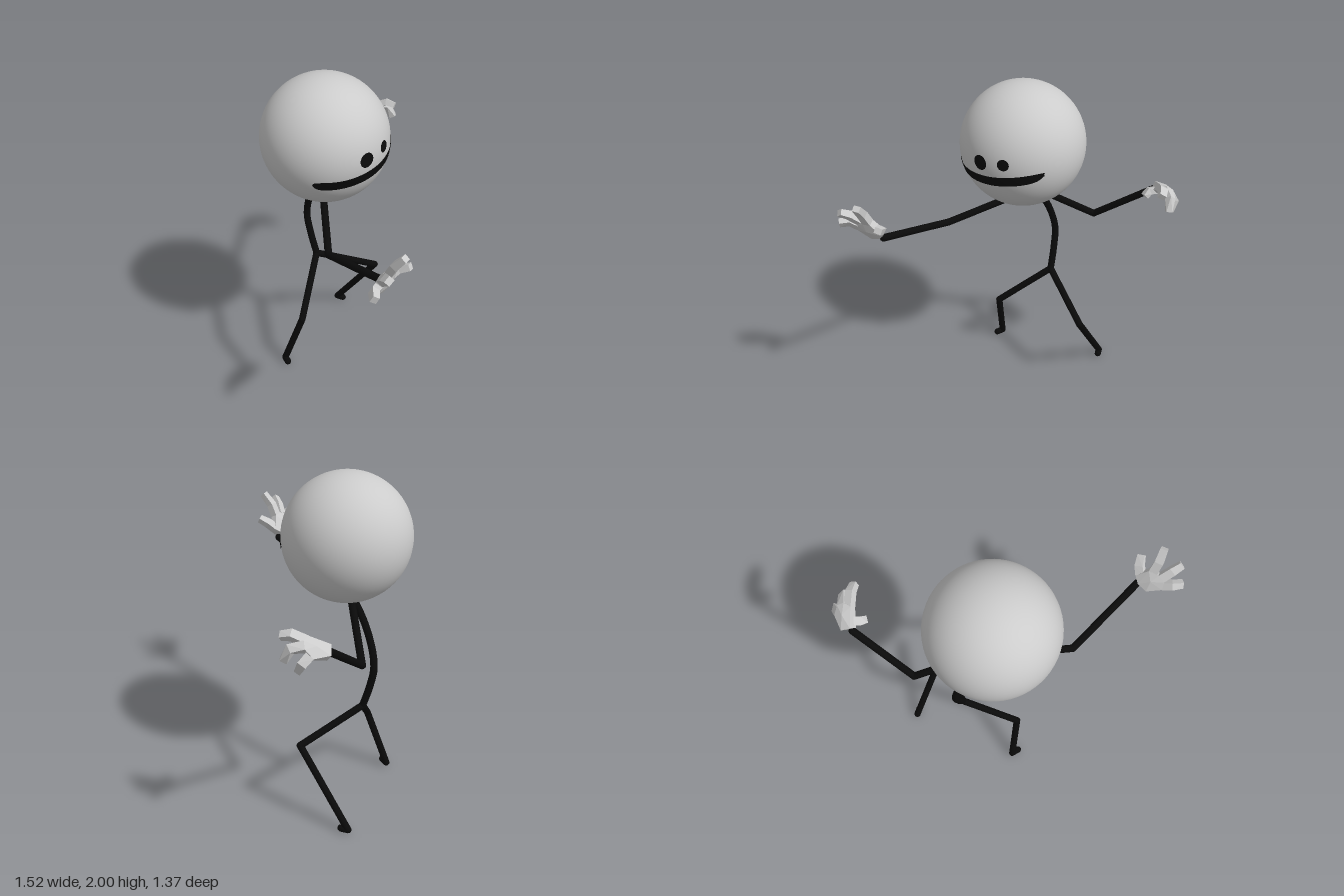
import * as THREE from 'three';
import { ConvexGeometry } from 'three/addons/geometries/ConvexGeometry.js';

const V = (p) => new THREE.Vector3(...p);
const HEAD = { c: V([-0.103, 1.637, -0.277]), r: 0.363 };
const STICK = 0.021;

export function createModel() {
  const model = new THREE.Group();
  const grey = new THREE.MeshStandardMaterial({ color: 0xcccccc });
  const skin = new THREE.MeshStandardMaterial({ color: 0xcccccc, flatShading: true });
  const black = new THREE.MeshStandardMaterial({ color: 0x0a0a0a });
  const ink = new THREE.MeshStandardMaterial({ color: 0x0a0a0a, side: THREE.DoubleSide });

  const add = (name, geometry, material, parent = model) => {
    const mesh = new THREE.Mesh(geometry, material);
    mesh.name = name;
    parent.add(mesh);
    return mesh;
  };
  const addGroup = (name) => {
    const g = new THREE.Group();
    g.name = name;
    model.add(g);
    return g;
  };

  // Head
  add('head', new THREE.SphereGeometry(HEAD.r, 64, 40), grey).position.copy(HEAD.c);

  // Face features: a grid of (x, y) laid onto the front of the head
  const facePatch = (name, nu, nv, fn) => {
    const geo = new THREE.PlaneGeometry(1, 1, nu, nv);
    const pos = geo.attributes.position;
    const R = HEAD.r + 0.003;
    for (let i = 0; i < pos.count; i++) {
      const [x, y] = fn(pos.getX(i) + 0.5, pos.getY(i) + 0.5);
      const dx = x - HEAD.c.x, dy = y - HEAD.c.y;
      pos.setXYZ(i, x, y, HEAD.c.z + Math.sqrt(Math.max(0, R * R - dx * dx - dy * dy)));
    }
    geo.computeVertexNormals();
    add(name, geo, ink);
  };
  const eye = (name, cx, cy, r) => facePatch(name, 28, 4, (u, v) => {
    const a = -u * Math.PI * 2;
    return [cx + Math.cos(a) * r * v, cy + Math.sin(a) * r * v];
  });
  eye('rightEye', -0.163, 1.655, 0.043);
  eye('leftEye', -0.02, 1.673, 0.033);

  const edge = (pts) => new THREE.SplineCurve(pts.map((p) => new THREE.Vector2(...p)));
  const upper = edge([[-0.405, 1.545], [-0.39, 1.563], [-0.27, 1.567], [-0.05, 1.592], [0.155, 1.628], [0.172, 1.622]]);
  const lower = edge([[-0.405, 1.54], [-0.37, 1.508], [-0.25, 1.51], [-0.05, 1.533], [0.12, 1.568], [0.175, 1.61]]);
  facePatch('mouth', 40, 5, (u, v) => {
    const p = lower.getPoint(u).lerp(upper.getPoint(u), v);
    return [p.x, p.y];
  });

  // Spine
  const spine = new THREE.CatmullRomCurve3([
    [-0.065, 1.34, -0.31], [-0.06, 1.28, -0.375], [-0.037, 1.13, -0.48], [-0.018, 0.95, -0.54],
    [-0.013, 0.81, -0.522], [-0.01, 0.665, -0.482],
  ].map(V));
  add('spine', new THREE.TubeGeometry(spine, 32, STICK, 12), black);

  // Limbs: round-ended sticks joined end to end
  const limb = (name, points) => {
    const g = addGroup(name);
    points.map(V).forEach((b, i, all) => {
      if (i === 0) return;
      const a = all[i - 1], dir = b.clone().sub(a);
      const stick = add(name + 'Segment', new THREE.CapsuleGeometry(STICK, dir.length(), 6, 12), black, g);
      stick.position.copy(a).lerp(b, 0.5);
      stick.quaternion.setFromUnitVectors(new THREE.Vector3(0, 1, 0), dir.normalize());
    });
  };
  const pelvis = [-0.01, 0.665, -0.482];
  limb('rightArm', [[-0.05, 1.32, -0.37], [-0.43, 1.157, 0.03], [-0.525, 1.285, 0.52]]);
  limb('leftArm', [[-0.04, 1.305, -0.36], [0.215, 1.09, -0.605], [0.575, 1.355, -0.643]]);
  limb('rightLeg', [pelvis, [-0.313, 0.39, -0.335], [-0.367, 0.024, -0.46], [-0.385, 0.024, -0.42]]);
  limb('leftLeg', [pelvis, [0.317, 0.48, -0.275], [0.31, 0.024, -0.615], [0.322, 0.024, -0.575]]);

  // Hands: hull palm plus three fingers and a thumb, each of two tapered blocks
  const hand = (name, wristPoint, digitPoints) => {
    const g = addGroup(name);
    const wrist = V(wristPoint);
    const digits = digitPoints.map((d) => d.map(V));
    const normal = digits[0][0].clone().sub(wrist).cross(digits[2][0].clone().sub(wrist)).normalize();

    const ring = (p, dir, r) => {
      const side = dir.clone().cross(normal).normalize();
      const up = side.clone().cross(dir).normalize();
      return [[1, 1], [1, -1], [-1, 1], [-1, -1]].map(([s, t]) =>
        p.clone().addScaledVector(side, s * r).addScaledVector(up, t * r * 0.85));
    };
    const center = digits.reduce((s, d) => s.add(d[0]), wrist.clone()).divideScalar(5);
    const palm = ring(wrist, center.clone().sub(wrist).normalize(), 0.032);
    digits.forEach(([base, mid]) => palm.push(...ring(base, mid.clone().sub(base).normalize(), 0.024)));
    palm.push(center.clone().addScaledVector(normal, 0.036), center.clone().addScaledVector(normal, -0.036));
    add(name + 'Palm', new ConvexGeometry(palm), skin, g);

    digits.forEach(([base, mid, tip], i) => {
      const d1 = mid.clone().sub(base).normalize(), d2 = tip.clone().sub(mid).normalize();
      const joint = ring(mid, d1.clone().add(d2).normalize(), 0.024);
      const label = name + (i === 3 ? 'Thumb' : 'Finger');
      add(label, new ConvexGeometry([...ring(base, d1, 0.025), ...joint]), skin, g);
      add(label + 'Tip', new ConvexGeometry([...joint, ...ring(tip, d2, 0.02)]), skin, g);
    });
  };
  hand('rightHand', [-0.56, 1.295, 0.525], [
    [[-0.575, 1.405, 0.58], [-0.578, 1.47, 0.615], [-0.565, 1.535, 0.668]],
    [[-0.63, 1.395, 0.58], [-0.662, 1.445, 0.625], [-0.688, 1.475, 0.67]],
    [[-0.65, 1.35, 0.565], [-0.7, 1.372, 0.585], [-0.742, 1.368, 0.625]],
    [[-0.52, 1.345, 0.55], [-0.49, 1.38, 0.575], [-0.468, 1.405, 0.625]],
  ]);
  hand('leftHand', [0.595, 1.365, -0.65], [
    [[0.655, 1.42, -0.555], [0.69, 1.452, -0.49], [0.708, 1.438, -0.44]],
    [[0.688, 1.412, -0.57], [0.73, 1.4, -0.515], [0.742, 1.33, -0.482]],
    [[0.695, 1.375, -0.605], [0.735, 1.345, -0.59], [0.722, 1.29, -0.56]],
    [[0.615, 1.375, -0.61], [0.575, 1.37, -0.58], [0.56, 1.345, -0.55]],
  ]);

  return model;
}
